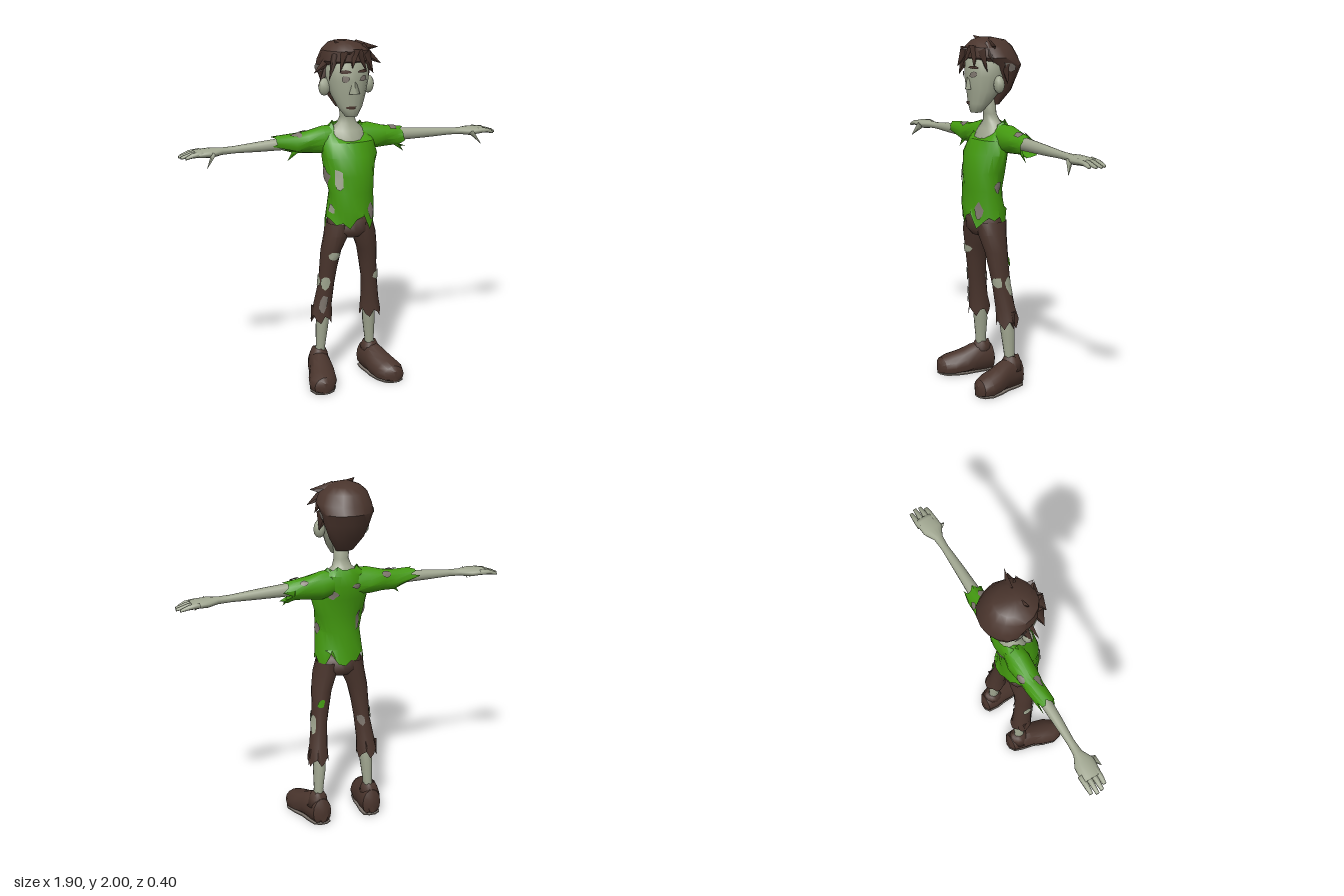
import * as THREE from 'three';
import { toCreasedNormals } from 'three/addons/utils/BufferGeometryUtils.js';

const mat = (name, color) => {
  const m = new THREE.MeshStandardMaterial({ color, side: THREE.DoubleSide });
  m.name = name;
  return m;
};

let seed = 7;
const rand = () => (seed = (seed * 16807) % 2147483647) / 2147483647;

// Surface through elliptical rings [pos, c1, c2, r1, r2, dip] along one axis.
// t is the angle round the ring, v the (fractional) ring number.
function surface(axis, rings, { jag = [0, 0], fold = 0, floor = -9 } = {}) {
  const last = rings.length - 1;
  const at = (t, v, out = 0) => {
    v = Math.min(Math.max(v, 0), last);
    const i = Math.min(Math.floor(v), last - 1), f = v - i;
    const [p, c1, c2, r1, r2, dip] = [0, 1, 2, 3, 4, 5].map(k =>
      (rings[i][k] || 0) * (1 - f) + (rings[i + 1][k] || 0) * f);
    const w = 1 + fold * (Math.sin(3 * t + v * 2.3) + Math.sin(5 * t - v * 3.1) * 0.7);
    const a = (r1 * w + out), b = (r2 * w + out);
    const tear = Math.sin(5 * t + 1) * 0.6 + Math.sin(8 * t) * 0.6;
    const q = p + tear * (jag[0] * Math.max(0, 1 - v) + jag[1] * Math.max(0, v - last + 1))
      - dip * Math.max(0, Math.cos(t)) ** 2;
    if (axis === 'y') return [c1 + a * Math.sin(t), q, c2 + b * Math.cos(t)];
    if (axis === 'x') return [q, c1 + a * Math.cos(t), c2 + b * Math.sin(t)];
    return [c1 + a * Math.cos(t), Math.max(floor, c2 + b * Math.sin(t)), q];
  };
  return { at, last, rings, axis };
}

function build(pos, idx) {
  const g = new THREE.BufferGeometry();
  g.setAttribute('position', new THREE.Float32BufferAttribute(pos.flat(), 3));
  g.setIndex(idx);
  g.computeVertexNormals();
  return g;
}

// Skin a surface, with optional end caps.
function loft(s, n = 14, caps = true) {
  const pos = [], idx = [];
  for (let i = 0; i <= s.last; i++)
    for (let j = 0; j < n; j++) pos.push(s.at(j / n * Math.PI * 2, i));
  for (let i = 0; i < s.last; i++)
    for (let j = 0; j < n; j++) {
      const a = i * n + j, b = i * n + (j + 1) % n;
      idx.push(a, b, a + n, b, b + n, a + n);
    }
  if (caps) {
    for (const v of [0, s.last]) {
      const c = pos.length, o = v * n;
      const mid = [0, 1, 2].map(k => (s.at(0, v)[k] + s.at(Math.PI, v)[k]) / 2);
      pos.push(mid);
      for (let j = 0; j < n; j++) {
        const a = o + j, b = o + (j + 1) % n;
        v ? idx.push(a, b, c) : idx.push(b, a, c);
      }
    }
  }
  return build(pos, idx);
}

// Thin ragged patch lying just over a surface.
function patch(s, t, v, dt, dv) {
  const n = 9, pos = [s.at(t, v, 0.006)], idx = [];
  const rough = Array.from({ length: n }, () => 0.7 + rand() * 0.5);
  for (const r of [0.5, 1])
    for (let j = 0; j < n; j++) {
      const a = j / n * Math.PI * 2;
      pos.push(s.at(t + Math.cos(a) * dt * r * rough[j], v + Math.sin(a) * dv * r * rough[j], 0.006));
    }
  for (let j = 0; j < n; j++) {
    const a = 1 + j, b = 1 + (j + 1) % n;
    idx.push(0, a, b, a, a + n, b + n, a, b + n, b);
  }
  return build(pos, idx);
}

// Flattened four-sided spike from one point to another.
function spike(from, to, r) {
  const a = new THREE.Vector3(...from), b = new THREE.Vector3(...to), d = b.clone().sub(a);
  const g = new THREE.ConeGeometry(r, d.length(), 4).scale(1, 1, 0.5);
  g.applyQuaternion(new THREE.Quaternion().setFromUnitVectors(new THREE.Vector3(0, 1, 0), d.normalize()));
  return g.translate(...a.add(b).multiplyScalar(0.5).toArray());
}

const mirrorX = (rings, side) => side > 0 ? rings : rings.map(([p, ...r]) => [-p, ...r]).reverse();
const shiftX = (rings, side) => rings.map(([p, x, ...r]) => [p, x * side, ...r]);

export function createModel() {
  const model = new THREE.Group();
  const skin = mat('pale skin', 0xa0a690), green = mat('green cloth', 0x43990f);
  const brown = mat('dark brown', 0x4a352d), grey = mat('worn grey', 0x7c746c);
  const add = (name, geo, m) => {
    const mesh = new THREE.Mesh(geo, m);
    mesh.name = name;
    model.add(mesh);
  };
  const crease = g => toCreasedNormals(g, 0.6);

  // Head, neck and chest
  const head = surface('y', [[1.58, -0.01, 0.065, 0.035, 0.03], [1.63, -0.01, 0.045, 0.07, 0.06],
    [1.7, -0.01, 0.015, 0.1, 0.095], [1.78, -0.01, 0, 0.12, 0.12], [1.86, -0.01, -0.01, 0.125, 0.125],
    [1.93, -0.01, -0.01, 0.09, 0.09]]);
  add('head', loft(head, 16), skin);
  add('neckAndChest', loft(surface('y', [[1.36, 0, -0.01, 0.11, 0.08], [1.44, 0, -0.02, 0.11, 0.08],
    [1.49, 0, -0.035, 0.1, 0.065], [1.53, 0, -0.03, 0.055, 0.045], [1.57, 0, -0.02, 0.042, 0.036],
    [1.69, -0.01, -0.01, 0.05, 0.045]])), skin);
  add('nose', spike([-0.01, 1.71, 0.115], [-0.01, 1.81, 0.115], 0.032), skin);
  add('mouth', patch(head, -0.2, 1.05, 0.4, 0.16), brown);
  for (const s of [-1, 1]) {
    add('eyeSocket', patch(head, s * 0.42, 3.15, 0.2, 0.22), grey);
    add('brow', patch(head, s * 0.42, 3.65, 0.27, 0.12), brown);
    const ear = new THREE.SphereGeometry(1, 8, 6).scale(0.035, 0.05, 0.03);
    add('ear', ear.translate(-0.01 + s * 0.13, 1.74, -0.005), skin);
  }

  // Hair cap with a ragged fringe
  const hair = surface('y', [[1.62, -0.01, -0.045, 0.05, 0.03], [1.7, -0.01, -0.075, 0.1, 0.065],
    [1.78, -0.01, -0.085, 0.13, 0.09], [1.84, -0.01, -0.075, 0.148, 0.125], [1.885, -0.01, -0.035, 0.152, 0.15],
    [1.94, -0.015, -0.02, 0.13, 0.135], [1.975, -0.02, -0.02, 0.085, 0.1], [1.99, -0.03, -0.01, 0.03, 0.04]], { fold: 0.015 });
  add('hair', crease(loft(hair, 16)), brown);
  add('balding', patch(hair, 1.5, 2.95, 0.3, 0.5), grey);
  add('balding', patch(hair, -1.45, 3.0, 0.35, 0.5), grey);
  const tufts = [[[-0.1, 1.92, 0.06], [-0.15, 1.78, 0.09]], [[-0.06, 1.93, 0.09], [-0.1, 1.83, 0.13]],
    [[0, 1.94, 0.09], [-0.03, 1.85, 0.135]], [[0.02, 1.94, 0.09], [0.06, 1.83, 0.12]],
    [[0.06, 1.92, 0.07], [0.12, 1.81, 0.07]], [[0.05, 1.94, 0.03], [0.17, 1.86, 0.06]],
    [[0.04, 1.95, 0], [0.16, 1.95, 0.04]], [[-0.1, 1.9, 0], [-0.21, 1.82, 0.02]],
    [[-0.11, 1.84, -0.03], [-0.18, 1.74, 0]], [[0.11, 1.84, -0.05], [0.14, 1.74, -0.05]],
    [[-0.02, 1.95, 0], [-0.1, 2, 0.03]], [[0, 1.93, 0.03], [-0.05, 1.93, 0.14]]];
  for (const [a, b] of tufts) add('hairTuft', spike(a, b, 0.045), brown);

  // Torn shirt
  const shirt = surface('y', [[0.98, 0, 0.02, 0.145, 0.115], [1.05, 0, 0.025, 0.138, 0.11],
    [1.15, 0, 0.03, 0.13, 0.105], [1.25, 0, 0.025, 0.142, 0.108], [1.35, 0, 0.005, 0.16, 0.11],
    [1.43, 0, -0.02, 0.15, 0.1], [1.49, 0, -0.04, 0.125, 0.08, 0.05], [1.525, 0, -0.045, 0.09, 0.055, 0.09]],
  { jag: [0.045, 0.012], fold: 0.035 });
  add('shirt', crease(loft(shirt, 22, false)), green);
  const holes = [[-0.75, 2.8, 0.22, 0.6, skin], [0.7, 0.9, 0.2, 0.5, grey], [-1.5, 3, 0.3, 0.5, grey],
    [-1.2, 1.1, 0.2, 0.35, skin], [1.7, 2.2, 0.25, 0.4, grey], [2.6, 4.4, 0.25, 0.3, grey],
    [-2.5, 2.6, 0.13, 0.6, grey], [-2.8, 5, 0.2, 0.25, grey]];
  for (const [t, v, dt, dv, m] of holes) add('shirtHole', patch(shirt, t, v, dt, dv), m);

  for (const s of [-1, 1]) {
    // Sleeve, longer and thinner on the right
    const end = s < 0 ? [0.42, 1.445, -0.05, 0.032, 0.045] : [0.34, 1.415, -0.05, 0.058, 0.05];
    const sleeve = surface('x', mirrorX([[0.07, 1.44, -0.05, 0.075, 0.06], [0.14, 1.435, -0.052, 0.078, 0.068],
      [0.23, 1.43, -0.055, 0.062, 0.058], [0.3, 1.425, -0.055, 0.056, 0.052], end], s),
    { jag: s > 0 ? [0, 0.03] : [0.03, 0], fold: 0.04 });
    add('sleeve', crease(loft(sleeve, 14, false)), green);
    add('sleeveHole', patch(sleeve, 0.5, s > 0 ? 2.7 : 1.2, 0.4, 0.4), grey);
    add('sleeveHole', patch(sleeve, -0.9, s > 0 ? 2.2 : 1.8, 0.3, 0.35), grey);
    add('sleeveRag', spike([s * 0.3, 1.39, -0.03], [s * 0.35, 1.335, -0.03], 0.018), green);

    // Arm and open hand
    add('arm', loft(surface('x', mirrorX([[0.15, 1.435, -0.05, 0.045, 0.04], [0.35, 1.43, -0.05, 0.036, 0.034],
      [0.5, 1.425, -0.05, 0.029, 0.028], [0.65, 1.42, -0.052, 0.02, 0.021], [0.72, 1.418, -0.052, 0.02, 0.026],
      [0.78, 1.415, -0.052, 0.026, 0.058], [0.85, 1.415, -0.058, 0.022, 0.058], [0.87, 1.415, -0.062, 0.018, 0.055]], s), 12)), skin);
    [[-0.105, 0.935], [-0.075, 0.95], [-0.045, 0.945], [-0.018, 0.925]].forEach(([z, x]) =>
      add('finger', loft(surface('x', mirrorX([[0.83, 1.418, z, 0.016, 0.018], [0.89, 1.413, z, 0.014, 0.016],
        [x, 1.4, z, 0.008, 0.011]], s)), 6), skin));
    add('thumb', spike([s * 0.775, 1.415, -0.005], [s * 0.825, 1.345, 0.035], 0.026), skin);

    // Shin, visible below the trousers
    add('shin', loft(surface('y', shiftX([[0.1, 0.16, -0.06, 0.034, 0.036], [0.2, 0.155, -0.055, 0.027, 0.032],
      [0.32, 0.148, -0.05, 0.036, 0.042], [0.5, 0.135, -0.03, 0.036, 0.042]], s), {}), 12), skin);

    // Trouser leg with worn patches
    const leg = surface('y', shiftX([[0.38, 0.153, -0.042, 0.062, 0.065], [0.47, 0.147, -0.035, 0.052, 0.057],
      [0.6, 0.133, -0.015, 0.045, 0.055], [0.7, 0.122, -0.005, 0.05, 0.06], [0.8, 0.11, 0.005, 0.058, 0.068],
      [0.9, 0.082, 0.015, 0.07, 0.085], [0.97, 0.07, 0.012, 0.068, 0.088]], s), { jag: [0.045, 0], fold: 0.025 });
    add('trouserLeg', crease(loft(leg, 16, false)), brown);
    const worn = s < 0
      ? [[0.1, 3.8, 0.75, 0.25, skin], [-0.5, 2.2, 0.5, 0.4, skin], [-0.3, 1.1, 0.45, 0.5, grey], [-1.6, 2.2, 0.5, 0.35, skin], [2.6, 2, 0.6, 0.3, grey]]
      : [[0.6, 2.3, 0.6, 0.35, skin], [1.9, 2.1, 0.5, 0.5, skin], [2.8, 3.3, 0.4, 0.3, green]];
    for (const [t, v, dt, dv, m] of worn) add('trouserPatch', patch(leg, t, v, dt, dv), m);
    add('trouserRag', spike([s * 0.19, 0.45, -0.04], [s * 0.215, 0.35, -0.05], 0.03), brown);

    // Shoe with a rounded toe and flat sole
    const shoe = (grow, floor) => surface('z', [[-0.14, 0.155, 0.06, 0.025, 0.035], [-0.12, 0.157, 0.07, 0.056, 0.075],
      [-0.06, 0.165, 0.075, 0.068, 0.085], [0, 0.175, 0.07, 0.07, 0.08], [0.06, 0.19, 0.055, 0.082, 0.067],
      [0.13, 0.208, 0.045, 0.084, 0.058], [0.18, 0.216, 0.04, 0.062, 0.045], [0.2, 0.218, 0.035, 0.025, 0.022]]
      .map(([z, x, y, rx, ry]) => [z, s * x, y, rx + grow, ry + 0.012]), { floor });
    add('shoe', crease(loft(shoe(0, 0.008), 14)), brown);
    add('shoeTop', loft(surface('y', [[0.1, s * 0.168, -0.06, 0.062, 0.068], [0.15, s * 0.162, -0.065, 0.052, 0.056],
      [0.18, s * 0.162, -0.065, 0.036, 0.042]], { jag: [0, 0.008] }), 12), brown);
    const outline = shoe(-0.006, -9).rings;
    const sole = new THREE.Shape([...outline.map(r => new THREE.Vector2(r[1] + r[3], -r[0])),
      ...outline.map(r => new THREE.Vector2(r[1] - r[3], -r[0])).reverse()]);
    add('sole', new THREE.ExtrudeGeometry(sole, { depth: 0.007, bevelEnabled: false }).rotateX(-Math.PI / 2), grey);
  }

  // Trouser seat
  add('trouserSeat', loft(surface('y', [[0.885, 0, 0.015, 0.07, 0.07], [0.92, 0, 0.015, 0.135, 0.095],
    [1.0, 0, 0.015, 0.13, 0.1]]), 16), brown);
  return model;
}
